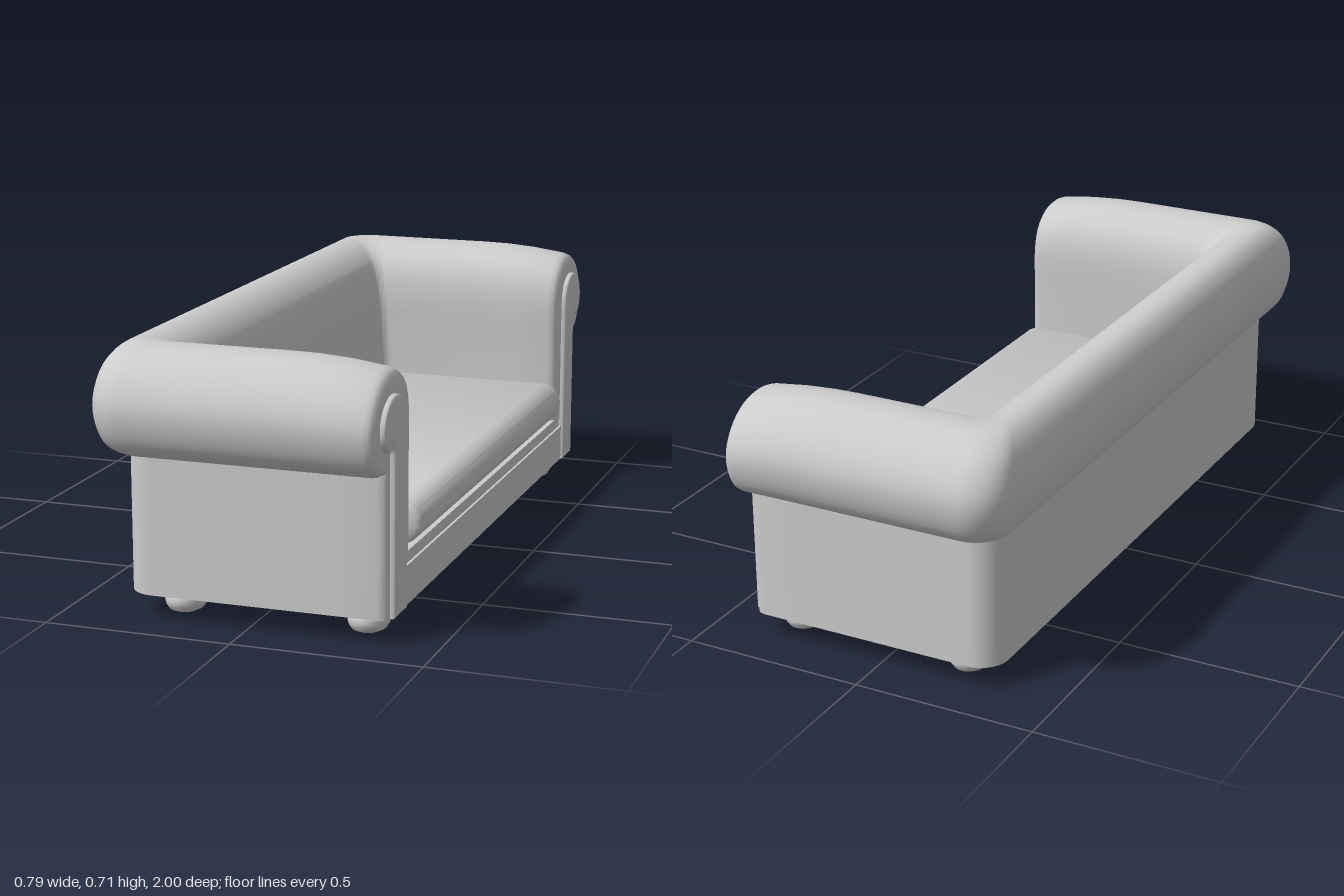
import * as THREE from 'three';
import { toCreasedNormals, mergeGeometries } from 'three/addons/utils/BufferGeometryUtils.js';
import { RoundedBoxGeometry } from 'three/addons/geometries/RoundedBoxGeometry.js';

const BASE = 0.062;
const grey = new THREE.MeshStandardMaterial({ color: 0xcccccc });
const openGrey = new THREE.MeshStandardMaterial({ color: 0xcccccc, side: THREE.DoubleSide });

function add(parent, name, geometry, x = 0, y = 0, z = 0, material = grey) {
  const mesh = new THREE.Mesh(geometry, material);
  mesh.name = name;
  mesh.position.set(x, y, z);
  parent.add(mesh);
  return mesh;
}

// Upholstered section, open below: x = half length at the arm, y = height, z = position at the back
function sectionProfile() {
  const v = (a, y, b) => new THREE.Vector3(a, y, b);
  const roll = new THREE.CatmullRomCurve3([
    v(0.7, 0.19, -0.172), v(0.7, 0.42, -0.185), v(0.7, 0.58, -0.2), v(0.72, 0.645, -0.215),
    v(0.765, 0.69, -0.255), v(0.83, 0.709, -0.31), v(0.9, 0.697, -0.35), v(0.96, 0.653, -0.38),
    v(0.996, 0.585, -0.393), v(0.995, 0.525, -0.392), v(0.97, 0.465, -0.378),
    v(0.93, 0.436, -0.355), v(0.886, 0.43, -0.335),
  ]);
  return [...roll.getPoints(40), v(0.886, 0.41, -0.335), v(0.886, BASE, -0.335)];
}

// The section swept around a U: arm, back, arm, with rounded corners and front edges
function bodyGeometry() {
  const profile = sectionProfile(), n = profile.length;
  const inset = (i, d) => {
    const a = profile[Math.max(0, i - 1)], b = profile[Math.min(n - 1, i + 1)], p = profile[i];
    const tx = b.x - a.x, ty = b.y - a.y, len = Math.hypot(tx, ty);
    return [p.x + (ty / len) * d, p.y - (tx / len) * d];
  };
  const sag = (x, y) => y - 0.35 * Math.max(0, (y - 0.43) / 0.28) * Math.max(0, x - 0.1) ** 2;
  const half = [];
  for (const [x, d] of [[0.369, 0.022], [0.366, 0.01], [0.357, 0.003], [0.343, 0], [0.25, 0], [0.17, 0], [0.1, 0]]) {
    half.push(profile.map((p, i) => {
      const [z, y] = inset(i, d);
      return [x, sag(x, y), z];
    }));
  }
  const steps = 10;
  for (let s = 0; s <= steps; s++) {
    const t = (s / steps) * Math.PI / 2;
    half.push(profile.map((p) => {
      const r = 0.03 + 0.25 * (p.x - 0.7);
      return [p.z + r - r * Math.sin(t), p.y, p.x - r + r * Math.cos(t)];
    }));
  }
  const mirror = (ring) => ring.map(([x, y, z]) => [x, y, -z]);
  const rings = [...half, ...half.slice().reverse().map(mirror)];
  const index = [];
  for (let s = 0; s < rings.length - 1; s++) {
    for (let i = 0; i < n - 1; i++) {
      const a = s * n + i;
      index.push(a, a + n, a + n + 1, a, a + n + 1, a + 1);
    }
  }
  const sweep = new THREE.BufferGeometry();
  sweep.setAttribute('position', new THREE.Float32BufferAttribute(rings.flat(2), 3));
  sweep.setIndex(index);
  // Flat ends of the arms, notched where the front rail meets them
  const end = [...half[0], [0, BASE, 0.755], [0, 0.19, 0.755]];
  const caps = [end, mirror(end)].map((ring) => {
    const cap = new THREE.ShapeGeometry(new THREE.Shape(ring.map(([, y, z]) => new THREE.Vector2(-z, y))));
    cap.rotateY(Math.PI / 2).translate(0.369, 0, 0);
    cap.deleteAttribute('uv');
    cap.deleteAttribute('normal');
    return cap;
  });
  return toCreasedNormals(mergeGeometries([sweep, ...caps]), 0.7);
}

// Cushion with full round front and back edges and tighter ends
function cushionGeometry() {
  const r = 0.0575, flat = 0.68;
  const geometry = new RoundedBoxGeometry(0.567, 2 * r, 2 * (flat + r), 6, r);
  const pos = geometry.attributes.position;
  for (let i = 0; i < pos.count; i++) {
    const z = pos.getZ(i), over = Math.max(0, Math.abs(z) - flat);
    pos.setZ(i, z - Math.sign(z) * over * 0.65);
  }
  return toCreasedNormals(geometry, 0.7);
}

// Scroll-shaped facing on the front of an arm; side is +1 or -1
function scrollGeometry(side) {
  const curve = new THREE.SplineCurve([
    [0.772, 0.52], [0.775, 0.565], [0.797, 0.602], [0.845, 0.62], [0.893, 0.61], [0.926, 0.58],
    [0.933, 0.54], [0.917, 0.508], [0.89, 0.497], [0.868, 0.506], [0.857, 0.49], [0.855, 0.45],
  ].map(([z, y]) => new THREE.Vector2(-side * z, y)));
  const points = [new THREE.Vector2(-side * 0.772, 0.069), ...curve.getPoints(36), new THREE.Vector2(-side * 0.855, 0.069)];
  const geometry = new THREE.ExtrudeGeometry(new THREE.Shape(points), {
    depth: 0.014, bevelEnabled: true, bevelThickness: 0.007, bevelSize: 0.007, bevelSegments: 3,
  });
  geometry.rotateY(Math.PI / 2).translate(0.362, 0, 0);
  return toCreasedNormals(geometry, 0.7);
}

// Bun foot with a dished underside
function footGeometry() {
  const points = [[0, 0.014], [0.024, 0.012], [0.03, 0], [0.044, 0.007], [0.052, 0.02], [0.054, 0.032],
    [0.051, 0.045], [0.043, 0.056], [0.03, 0.063], [0, 0.063]].map(([x, y]) => new THREE.Vector2(x, y));
  return toCreasedNormals(new THREE.LatheGeometry(points, 28), 0.8);
}

export function createModel() {
  const sofa = new THREE.Group();
  sofa.name = 'sofa';

  add(sofa, 'armsAndBack', bodyGeometry(), 0, 0, 0, openGrey);
  add(sofa, 'seatCushion', cushionGeometry(), 0.1085, 0.2575, 0);

  // Front rail with a set-back ledge under the cushion
  add(sofa, 'frontRail', new THREE.BoxGeometry(0.065, 0.103, 1.53), 0.342, 0.1135, 0);
  add(sofa, 'railLedge', new THREE.BoxGeometry(0.06, 0.031, 1.51), 0.338, 0.18, 0);

  for (const side of [1, -1]) {
    const label = side > 0 ? 'left' : 'right';
    add(sofa, label + 'ArmScroll', scrollGeometry(side));
    for (const [place, x] of [['Front', 0.286], ['Back', -0.21]]) {
      add(sofa, label + place + 'Foot', footGeometry(), x, 0, side * 0.775).scale.z = 1.2;
    }
  }
  return sofa;
}
